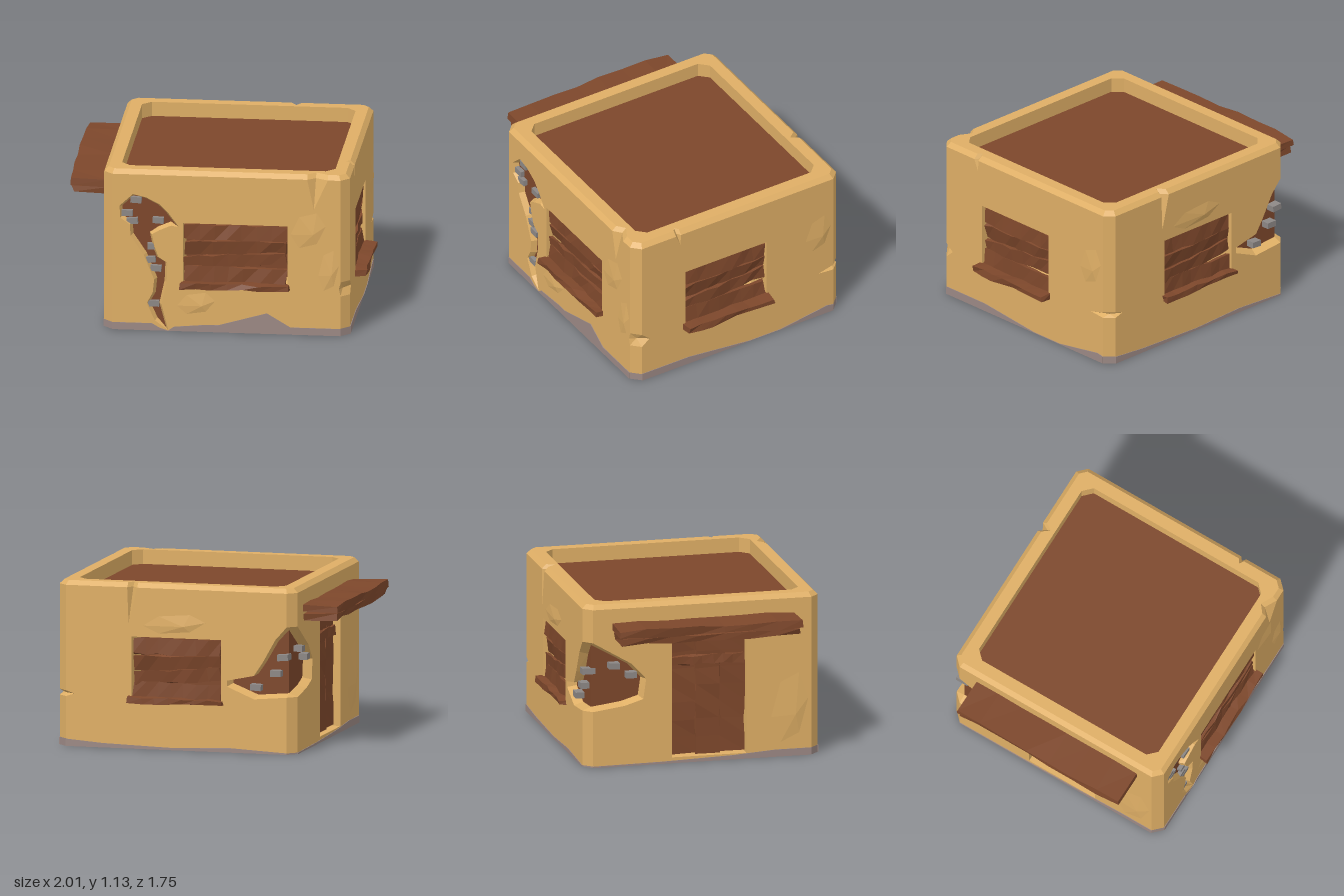
import * as THREE from 'three';

const mat = (name, color) => new THREE.MeshStandardMaterial({ name, color, side: THREE.DoubleSide, flatShading: true });
const V = (x, y, z) => new THREE.Vector3(x, y, z);
const UP = V(0, 1, 0);
const EAVE = 1.10, TOP = 1.13, ROOF = 1.03;

export function createModel() {
  const clay = mat('sand clay', 0xdeae65), wood = mat('brown wood', 0x7d472b);
  const stone = mat('base grey', 0x9b8884), brick = mat('brick grey', 0x8c8785);
  const root = new THREE.Group();
  root.name = 'clayHouse';

  const add = (parent, name, geo, m, x = 0, y = 0, z = 0) => {
    const mesh = new THREE.Mesh(geo, m);
    mesh.name = name;
    mesh.position.set(x, y, z);
    parent.add(mesh);
    return mesh;
  };
  const tris = (pts) => {
    const g = new THREE.BufferGeometry().setFromPoints(pts);
    g.computeVertexNormals();
    return g;
  };
  // Skin between closed loops of equal length
  const loft = (rings) => tris(rings.slice(1).flatMap((b, r) => rings[r].flatMap((p, i, a) => {
    const j = (i + 1) % a.length;
    return [p, a[j], b[j], p, b[j], b[i]];
  })));
  const v2 = (pts) => pts.map(([x, y]) => new THREE.Vector2(x, y));
  const flat = (pts) => new THREE.ShapeGeometry(new THREE.Shape(v2(pts)));
  const rect = (x0, x1, y0, y1) => [[x0, y0], [x1, y0], [x1, y1], [x0, y1]];
  const inset = (pts, d) => {
    const s = Math.sign(THREE.ShapeUtils.area(v2(pts))), n = pts.length;
    return pts.map(([x, y], i) => {
      const p = pts[(i + n - 1) % n], q = pts[(i + 1) % n];
      const tx = q[0] - p[0], ty = q[1] - p[1], l = Math.hypot(tx, ty) * s;
      return [x - ty / l * d, y + tx / l * d];
    });
  };

  // Rough plank: a box whose columns wander by a repeatable hash
  let seed = 1;
  const plank = (parent, name, w, h, d, x, y, z, roll = 0, pitch = 0, rough = 0.016) => {
    const g = new THREE.BoxGeometry(w, h, d, 7, 1, 1), p = g.attributes.position;
    const k = seed++;
    const hash = (a) => { const s = Math.sin(a * 127.1 + k * 311.7) * 43758.5453; return s - Math.floor(s) - 0.5; };
    for (let i = 0; i < p.count; i++) {
      const id = Math.round((p.getX(i) / w + 0.5) * 7) + (p.getY(i) > 0 ? 10 : 0) + (p.getZ(i) > 0 ? 20 : 0);
      p.setXYZ(i, p.getX(i) + hash(id + 50) * rough, p.getY(i) + hash(id) * rough, p.getZ(i) + hash(id + 90) * rough);
    }
    g.computeVertexNormals();
    add(parent, name, g, wood, x, y, z).rotation.set(pitch, 0, roll);
  };

  // Broken edge of the back corner, on the back wall and on the door wall
  const breakBack = [[.69, .39], [.46, .37], [.27, .45], [.27, .49], [.46, .53], [.52, .62], [.61, .78], [.69, .87]];
  const breakSide = [[-.77, .87], [-.50, .71], [-.40, .60], [-.42, .46], [-.55, .42], [-.77, .39]];
  const crack = [[-.55, .96], [-.46, .94], [-.37, .895], [-.31, .835], [-.235, .735], [-.29, .745], [-.37, .71], [-.42, .68],
    [-.40, .585], [-.375, .52], [-.315, .48], [-.32, .345], [-.355, .185], [-.31, .006], [-.40, .07], [-.455, .19],
    [-.415, .265], [-.405, .36], [-.475, .53], [-.565, .665], [-.57, .745], [-.635, .79], [-.64, .875]];
  const winF = rect(-.21, .50, .33, .765), winR = rect(-.405, .24, .32, .775), winB = rect(-.40, .23, .33, .765);
  const door = rect(-.22, .30, .04, .89);

  // Walls in turn order; local x runs rightward as seen from outside
  const front = { name: 'frontWall', rot: 0, dist: .81, x0: -.69, x1: .86, holes: [winF, crack], right: [[.86, .29], [.85, .33], [.86, .37]],
    notch: { u: [.635, .69, .775], tip: [.68, .89], deep: .045 },
    base: [[-.69, .05], [-.42, .05], [-.37, .02], [-.31, .002], [-.27, .03], [-.05, .05], [.03, .05], [.36, .145], [.52, .05], [.86, .05]] };
  const right = { name: 'rightWall', rot: Math.PI / 2, dist: .92, x0: -.75, x1: .77, holes: [winR], left: [[-.75, .38], [-.69, .33], [-.75, .28]],
    right: [[.77, .34], [.65, .35], [.77, .38]], notch: { u: [-.48, -.46, -.44], tip: [-.445, 1.02], deep: .03 },
    base: [[-.75, .055], [-.38, .055], [.1, .004], [.35, .004], [.72, .06], [.77, .05]] };
  const back = { name: 'backWall', rot: Math.PI, dist: .83, x0: -.86, x1: .69, holes: [winB], left: [[-.86, .38], [-.80, .36], [-.86, .34]],
    right: breakBack, notch: { u: [-.43, -.40, -.36], tip: [-.42, .85], deep: .05 },
    base: [[-.86, .05], [-.6, .03], [-.1, .015], [.3, .03], [.69, .01]] };
  const side = { name: 'doorWall', rot: -Math.PI / 2, dist: .75, x0: -.77, x1: .75, holes: [door], left: breakSide,
    base: [[-.77, .01], [-.3, .015], [.2, .03], [.5, .05], [.75, .05]] };
  const walls = [front, right, back, side];
  const world = (w, u, y, off = 0) => V(u, y, w.dist + off).applyAxisAngle(UP, w.rot);

  for (const w of walls) {
    const g = w.group = new THREE.Group();
    g.name = w.name;
    g.rotation.y = w.rot;
    root.add(g);
    const { x0, x1, notch: n } = w;
    const cut = n ? [[n.u[2], EAVE], n.tip, [n.u[0], EAVE]] : [];
    const shape = new THREE.Shape(v2([[x0, 0], [x1, 0], ...(w.right || []), [x1, EAVE], ...cut, [x0, EAVE], ...(w.left || [])]));
    shape.holes = w.holes.map((h) => new THREE.Path(v2(h)));
    add(g, 'wallFace', new THREE.ShapeGeometry(shape), clay, 0, 0, w.dist);
    // Worn base band, showing on both faces
    const band = new THREE.ExtrudeGeometry(new THREE.Shape(v2([[x1, 0], [x0, 0], ...w.base])), { depth: .008, bevelEnabled: false });
    add(g, 'baseBand', band, stone, 0, 0, w.dist - .004);
    // V-shaped split at the top edge
    if (n) {
      const [a, b, c] = n.u.map((u, i) => V(u, EAVE, i === 1 ? -n.deep : 0)), t = V(...n.tip, 0);
      add(g, 'topSplit', tris([a, t, b, b, t, c]), clay, 0, 0, w.dist);
    }
  }

  // Shallow six-sided swellings in the plaster: centre and half sizes
  for (const [w, x, y, rx, ry] of [[front, .64, .74, .12, .13], [front, .78, .46, .07, .15], [front, -.12, .2, .13, .08],
    [right, .65, .69, .1, .14], [back, -.1, .86, .22, .07], [side, .6, .34, .13, .25]]) {
    const rim = [...Array(6)].map((_, i) => V(rx * Math.cos(i * Math.PI / 3), ry * Math.sin(i * Math.PI / 3 + .25), 0));
    const fan = rim.flatMap((p, i) => [p, rim[(i + 1) % 6], V(rx * .3, -ry * .2, .012)]);
    add(w.group, 'plasterSwell', tris(fan), clay, x, y, w.dist + .001);
  }

  // Parapet: bevelled rim, inner faces and sunken roof
  const ring = (y, off, shrink, pushed) => walls.flatMap((w) => {
    const lo = w.x0 + shrink, hi = w.x1 - shrink;
    const mids = w.notch ? w.notch.u.map((u, i) => [Math.min(u, hi - .002 * (3 - i)), pushed && i === 1 ? -w.notch.deep : 0]) : [];
    return [[lo, 0], ...mids, [hi, 0]].map(([u, d]) => world(w, u, y, off + d));
  });
  const inner = ring(ROOF, -.11, .11, false);
  add(root, 'parapet', loft([ring(EAVE, 0, 0, true), ring(TOP, -.03, .012, true), ring(TOP, -.11, .11, false), inner]), clay);
  add(root, 'roof', flat(inner.map((p) => [p.x, -p.z])).rotateX(-Math.PI / 2), wood, 0, ROOF, 0);

  // Chamfered corners between consecutive walls, some with a chipped edge
  const quad = (a, b, y0, y1) => [[a, y0], [b, y0], [b, y1], [a, y0], [b, y1], [a, y1]].map(([p, y]) => V(p.x, y, p.z));
  const corner = (wa, wb, lo, hi, baseY, tipA, tipB) => {
    const a = world(wa, wa.x1, 0), b = world(wb, wb.x0, 0);
    const at = (p, y) => V(p.x, y, p.z);
    const t = quad(a, b, baseY, lo).concat(quad(a, b, hi, EAVE));
    if (tipA) {
      const c = at(a.clone().add(b).multiplyScalar(.5 * .98), (lo + hi) / 2);
      const loop = [at(a, lo), at(b, lo), world(wb, ...tipB), at(b, hi), at(a, hi), world(wa, ...tipA)];
      loop.forEach((p, i) => t.push(p, loop[(i + 1) % 6], c));
    }
    add(root, 'cornerFace', tris(t), clay);
    add(root, 'cornerBase', tris(quad(a, b, 0, baseY)), stone);
  };
  corner(front, right, .28, .38, .052, [.85, .33], [-.69, .33]);
  corner(right, back, .34, .38, .052, [.65, .35], [-.80, .36]);
  corner(back, side, .39, .87, .01);
  corner(side, front, .5, .5, .05);

  // Hollow sunk into a wall, closed by a wooden back
  const recess = (w, pts, depth, slope, name) => {
    const small = slope ? inset(pts, slope) : pts;
    const g = new THREE.Group();
    g.name = name;
    g.position.z = w.dist;
    w.group.add(g);
    add(g, 'reveal', loft([pts.map((p) => V(...p, 0)), small.map((p) => V(...p, -depth))]), clay);
    add(g, 'backing', flat(small), wood, 0, 0, -depth);
    return g;
  };
  const bricks = (g, list, z) => list.forEach(([x, y], i) => {
    add(g, 'brick', new THREE.BoxGeometry(.075, .042, .09), brick, x, y, z).rotation.z = (i % 3 - 1) * .06;
  });

  // Boarded windows with a rough sill
  for (const [w, pts, reach] of [[front, winF, .055], [right, winR, .075], [back, winB, .045]]) {
    const g = recess(w, pts, .24, 0, 'boardedWindow');
    const [[x0, y0], [x1], [, y1]] = pts, W = x1 - x0, H = y1 - y0, cx = (x0 + x1) / 2;
    plank(g, 'board', W - .02, H * .24, .03, cx, y0 + H * .85, -.03, 0, -.08);
    plank(g, 'board', W - .02, H * .24, .03, cx, y0 + H * .60, -.04, .03, .2);
    plank(g, 'board', W - .02, H * .20, .03, cx, y0 + H * .40, -.035, .08, .08);
    plank(g, 'board', W - .02, H * .25, .03, cx, y0 + H * .16, -.03, -.02, -.08);
    plank(g, 'sill', W + .03, .038, reach + .02, cx, y0 + .005, (reach - .02) / 2);
  }

  // Plank door and the awning above it
  const dg = recess(side, door, .24, 0, 'door');
  for (let i = 0; i < 3; i++) plank(dg, 'doorPlank', .83, .168, .03, -.13 + i * .172, .46, -.07, Math.PI / 2);
  plank(dg, 'doorBrace', .49, .06, .03, .04, .70, -.05);
  const awning = new THREE.Group();
  awning.name = 'awning';
  awning.position.z = side.dist;
  side.group.add(awning);
  plank(awning, 'awningBoard', 1.27, .055, .255, 0, .975, .12, 0, 0, .02);
  plank(awning, 'awningBeam', 1.24, .045, .235, 0, .92, .11, 0, 0, .02);

  // Long crack in the front plaster
  const cg = recess(front, crack, .04, .018, 'plasterCrack');
  bricks(cg, [[-.53, .915], [-.59, .82], [-.555, .765], [-.38, .775], [-.415, .59], [-.435, .495], [-.395, .435], [-.41, .185]], -.055);

  // Broken back corner: clay rim, wooden core and loose bricks
  const shrunk = (pts, edge) => pts.map(([u, y]) => [edge + (u - edge) * .93, .62 + (y - .62) * .9]);
  const onWall = (w, pts, off) => pts.map(([u, y]) => world(w, u, y, off));
  const coreB = shrunk(breakBack, .69), coreS = shrunk(breakSide, -.77);
  add(root, 'brokenRim', loft([[...onWall(back, breakBack, 0), ...onWall(side, breakSide, 0)],
    [...onWall(back, coreB, -.06), ...onWall(side, coreS, -.06)]]), clay);
  for (const [w, core, list] of [[back, coreB, [[.47, .45], [.61, .55], [.66, .66]]], [side, coreS, [[-.62, .70], [-.50, .63]]]]) {
    add(w.group, 'cornerCore', flat(core), wood, 0, 0, w.dist - .06);
    bricks(w.group, list, w.dist - .045);
  }
  return root;
}
